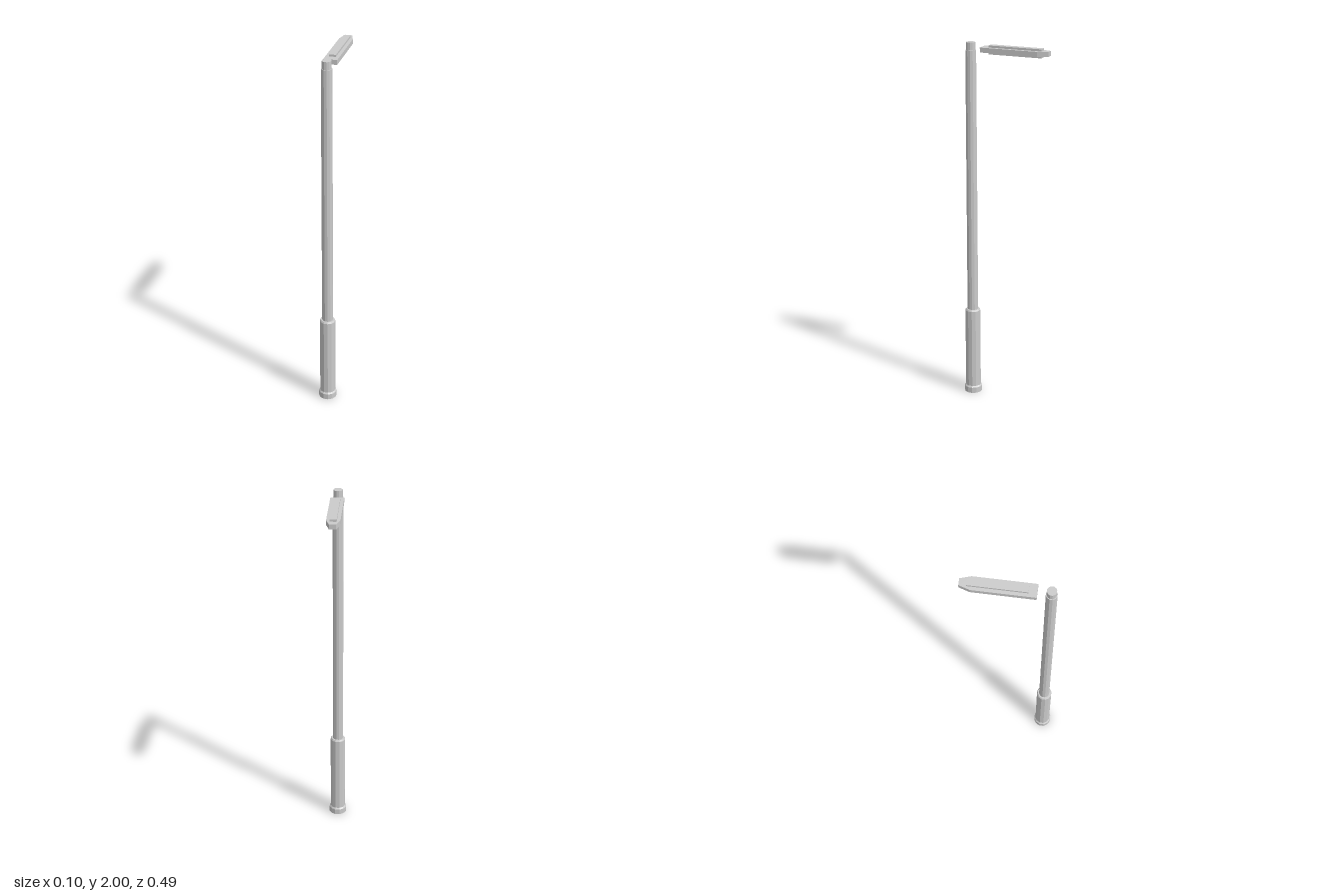
import * as THREE from 'three';

const SIDES = 12;
const POLE_Z = 0.197;

export function createModel() {
  const model = new THREE.Group();
  const material = new THREE.MeshStandardMaterial({ color: 0xcccccc, flatShading: true });

  const add = (name, geometry, parent = model) => {
    const mesh = new THREE.Mesh(geometry, material);
    mesh.name = name;
    parent.add(mesh);
    return mesh;
  };

  // Upright prism given by its across-flats half width
  const post = (name, bottom, top, y0, y1) => {
    const k = 1 / Math.cos(Math.PI / SIDES);
    const geometry = new THREE.CylinderGeometry(top * k, bottom * k, y1 - y0, SIDES);
    geometry.rotateY(Math.PI / SIDES);
    add(name, geometry).position.set(0, (y0 + y1) / 2, POLE_Z);
  };

  // Column, from the ground up
  post('baseFlange', 0.0475, 0.0475, 0, 0.032);
  post('baseChamfer', 0.0475, 0.041, 0.032, 0.04);
  post('sleeve', 0.041, 0.041, 0.04, 0.492);
  post('sleeveChamfer', 0.041, 0.036, 0.492, 0.5);
  post('pole', 0.029, 0.028, 0.5, 1.958);
  post('poleCap', 0.024, 0.024, 1.958, 2);

  // Lamp head: flat slab with a tapered far end
  const head = new THREE.Group();
  head.name = 'lampHead';
  model.add(head);
  const outline = new THREE.Shape([
    [-0.036, -0.129], [0.036, -0.129], [0.036, 0.19],
    [0.018, 0.247], [-0.018, 0.247], [-0.036, 0.19],
  ].map(([x, y]) => new THREE.Vector2(x, y)));
  const slab = new THREE.ExtrudeGeometry(outline, { depth: 0.026, bevelEnabled: false });
  slab.rotateX(-Math.PI / 2);
  add('housing', slab, head).position.y = 1.955;

  // Raised strip above and light panel below
  for (const [name, y] of [['topStrip', 1.986], ['lightPanel', 1.951]]) {
    add(name, new THREE.BoxGeometry(0.036, 0.012, 0.297), head).position.set(0, y, -0.061);
  }
  return model;
}
